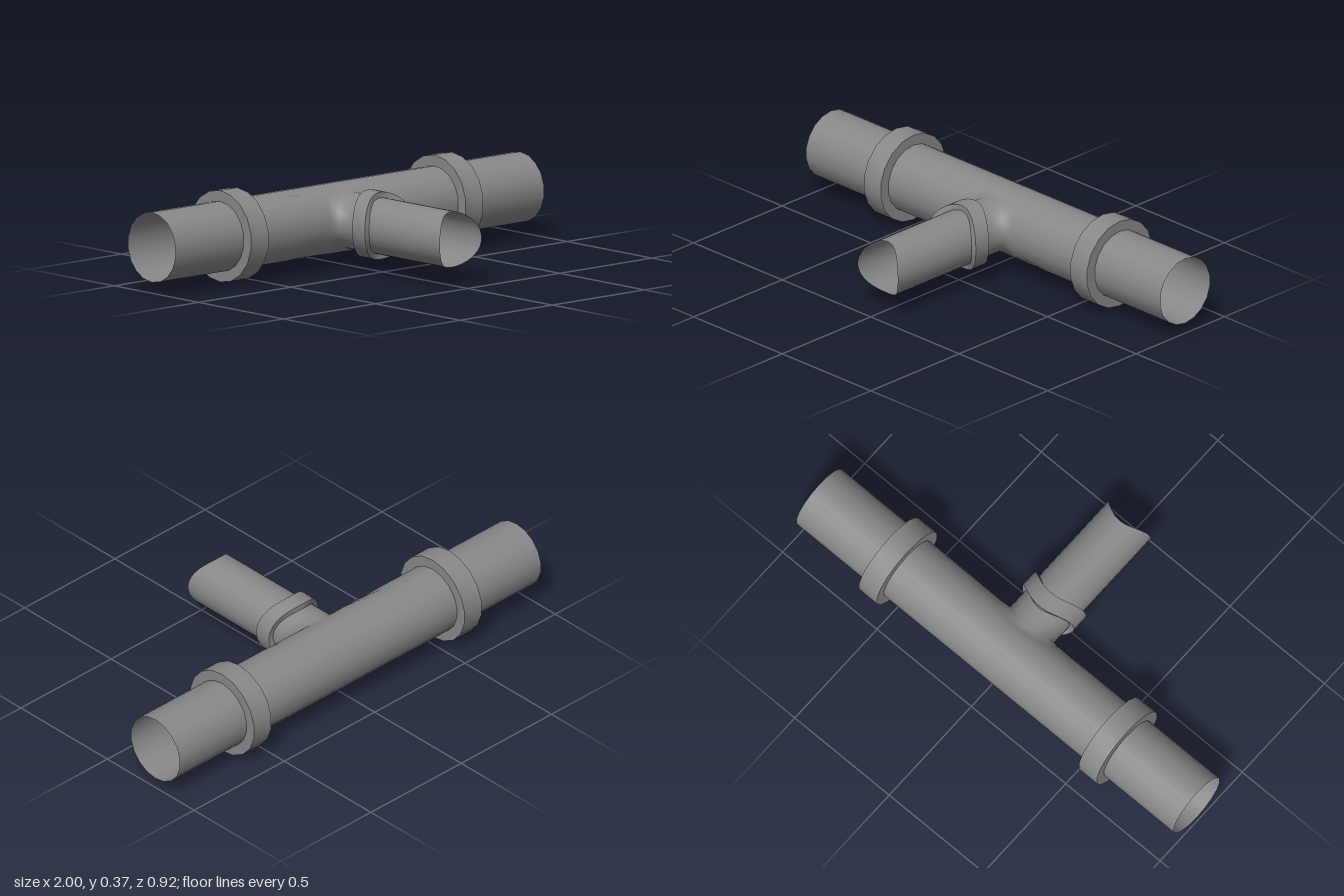
import * as THREE from 'three';

const R = 0.142, BRANCH_R = 0.1135, SIDES = 18;
const AXIS_Y = 0.186, AXIS_Z = -0.277, HALF = 0.3;
const material = new THREE.MeshStandardMaterial({ color: 0x888888, side: THREE.DoubleSide });

// Skin between consecutive rows of points
function loft(rows, closed = true) {
  const n = rows[0].length, index = [];
  for (let r = 0; r < rows.length - 1; r++) {
    if (rows[r].hardEnd) continue; // next row starts a new face
    for (let i = 0; i < (closed ? n : n - 1); i++) {
      const j = (i + 1) % n;
      const a = r * n + i, b = r * n + j, c = a + n, d = b + n;
      index.push(a, b, d, a, d, c);
    }
  }
  const g = new THREE.BufferGeometry().setFromPoints(rows.flat());
  g.setIndex(index);
  g.computeVertexNormals();
  return g;
}

// Point the first normals straight out from the main axis, so the pipe's pieces shade as one
function radialNormals(g, count = g.attributes.position.count) {
  const p = g.attributes.position, v = new THREE.Vector3();
  for (let i = 0; i < count; i++) {
    v.set(0, p.getY(i) - AXIS_Y, p.getZ(i) - AXIS_Z).normalize();
    g.attributes.normal.setXYZ(i, v.x, v.y, v.z);
  }
  return g;
}

// Point on the main pipe; phi runs from the front (+z) up to the top (+y)
const onMain = (x, phi, r = R) =>
  new THREE.Vector3(x, AXIS_Y + r * Math.sin(phi), AXIS_Z + r * Math.cos(phi));

// Row round the main axis, from the top over the front, bottom and back
const mainRow = (x, r) =>
  Array.from({ length: SIDES }, (_, i) => onMain(x, Math.PI / 2 - (i / SIDES) * Math.PI * 2, r));

// Radius of the many-sided main pipe between its corners
function facetRadius(phi) {
  const step = (Math.PI * 2) / SIDES;
  return R * Math.cos(step / 2) / Math.cos(phi - Math.round(phi / step) * step);
}

// Row round the branch; its z follows the saddle curve of the main pipe
function branchRow(offset, r = BRANCH_R) {
  return Array.from({ length: 36 }, (_, i) => {
    const a = -Math.PI / 4 + (i / 36) * Math.PI * 2;
    const s = Math.sin(a);
    const z = offset + Math.sqrt(R * R - (BRANCH_R * s) ** 2);
    return new THREE.Vector3(r * Math.cos(a), AXIS_Y + r * s, z);
  });
}

// Sharp-edged ring: start face, outer band, end face
function collar(row, start, end, inner, outer) {
  const rows = [[start, inner], [start, outer], [start, outer], [end, outer], [end, outer], [end, inner]]
    .map(([p, r]) => row(p, r));
  rows[1].hardEnd = rows[3].hardEnd = true;
  return loft(rows);
}

// Front half of the pipe's middle, narrowing to the hole and running on as the branch
function teeJunction() {
  const rows = [0, 0.25, 0.5, 0.75].map((t) => Array.from({ length: 36 }, (_, i) => {
    const f = (i % 9) / 9 * 2 - 1;
    const [rx, rp] = [[1, f], [-f, 1], [-1, -f], [f, -1]][Math.floor(i / 9)];
    const a = -Math.PI / 4 + (i / 36) * Math.PI * 2;
    const hx = BRANCH_R * Math.cos(a), hp = Math.asin(BRANCH_R * Math.sin(a) / R);
    const phi = THREE.MathUtils.lerp(rp * Math.PI / 2, hp, t);
    return onMain(THREE.MathUtils.lerp(rx * HALF, hx, t), phi, facetRadius(phi));
  }));
  for (const offset of [AXIS_Z, -0.21, -0.13, 0.318]) rows.push(branchRow(offset));
  return radialNormals(loft(rows), 4 * 36);
}

export function createModel() {
  const model = new THREE.Group();
  const add = (name, geometry) => {
    const mesh = new THREE.Mesh(geometry, material);
    mesh.name = name;
    model.add(mesh);
  };

  // Main pipe: two open ends and the back half between them
  add('leftPipe', radialNormals(loft([mainRow(HALF, R), mainRow(1, R)])));
  add('rightPipe', radialNormals(loft([mainRow(-1, R), mainRow(-HALF, R)])));
  const backRow = (x) => Array.from({ length: SIDES / 2 + 1 },
    (_, i) => onMain(x, Math.PI * 1.5 - (i / (SIDES / 2)) * Math.PI));
  add('pipeBack', radialNormals(loft([backRow(-HALF), backRow(HALF)], false)));

  add('branchPipe', teeJunction());

  // Collars
  add('leftCollar', collar(mainRow, 0.535, 0.63, R, 0.186));
  add('rightCollar', collar(mainRow, -0.63, -0.535, R, 0.186));
  add('branchCollar', collar(branchRow, -0.174, -0.1, BRANCH_R, 0.137));
  return model;
}
